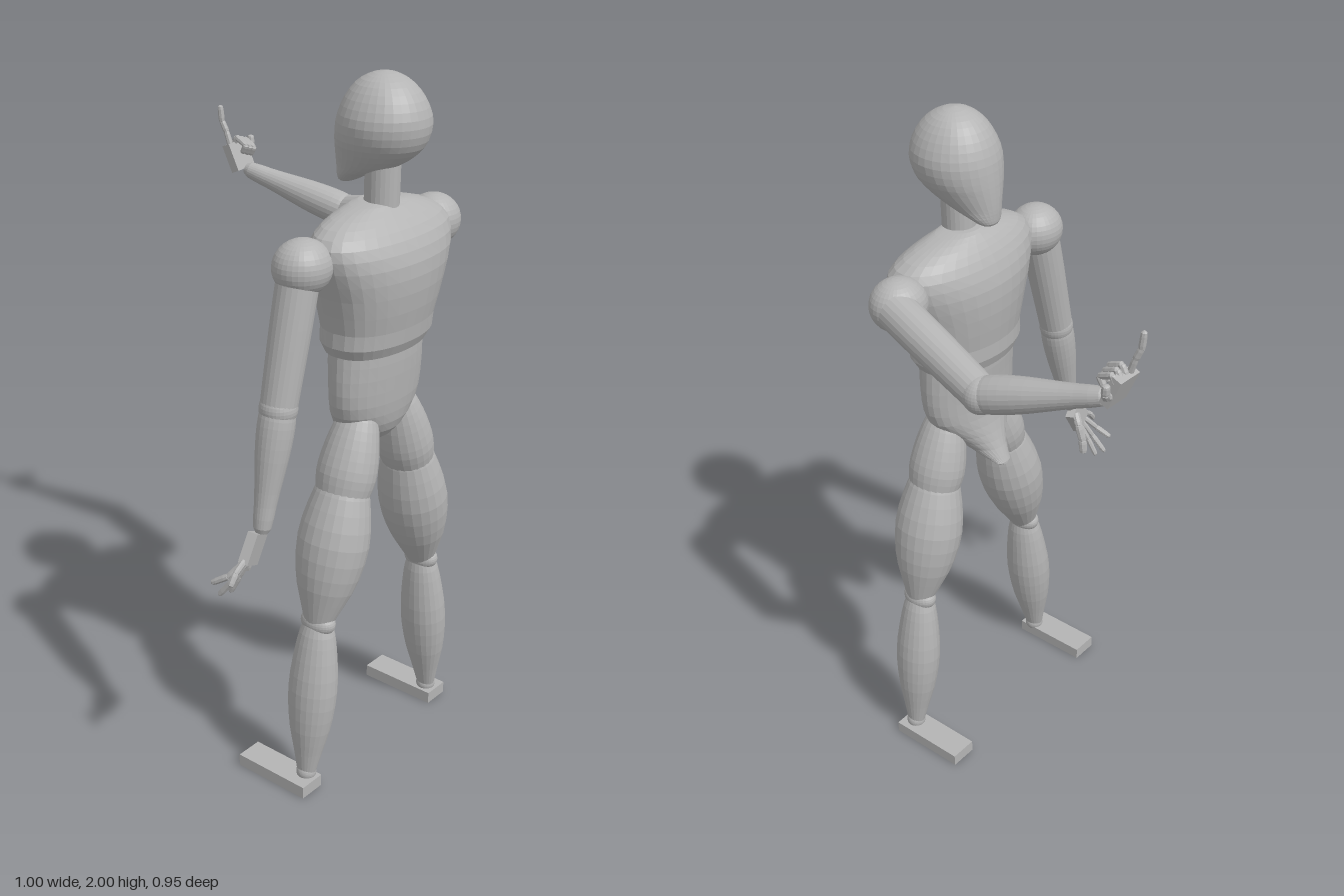
import * as THREE from 'three';

const V = (p) => new THREE.Vector3(...p);
const CX = 0.066; // body centre line

export function createModel() {
  const model = new THREE.Group();
  const grey = new THREE.MeshStandardMaterial({ color: 0xb4b4b4, flatShading: true });
  grey.name = 'plain grey';

  const add = (name, geometry, parent = model) => {
    const mesh = new THREE.Mesh(geometry, grey);
    mesh.name = name;
    parent.add(mesh);
    return mesh;
  };

  // Upright lofted body: rings of [y, half width, z min, z max], bottom to top
  function body(name, rings, steps, backPower = 1) {
    const widths = new THREE.CatmullRomCurve3(rings.map((r) => V([r[0], r[1], 0])), false, 'catmullrom');
    const depths = new THREE.CatmullRomCurve3(rings.map((r) => V([r[2], r[3], 0])), false, 'catmullrom');
    const rows = Array.from({ length: steps + 1 }, (_, i) => new THREE.Vector2(1, i));
    const geo = new THREE.LatheGeometry(rows, 32);
    const pos = geo.attributes.position;
    for (let i = 0; i < pos.count; i++) {
      const t = Math.round(pos.getY(i)) / steps;
      const w = widths.getPoint(t), d = depths.getPoint(t);
      const s = pos.getX(i), c = pos.getZ(i);
      const k = c > 0 ? Math.pow(c, backPower) : c;
      pos.setXYZ(i, CX + s * w.y, w.x, (d.x + d.y) / 2 + k * (d.y - d.x) / 2);
    }
    geo.computeVertexNormals();
    return add(name, geo);
  }

  // Turned limb from a to b: profile of [fraction along, radius], with depth scale
  function limb(name, a, b, profile, depth = 1, sides = 24, steps = 14, parent = model) {
    const from = V(a), dir = V(b).sub(from), len = dir.length();
    const curve = new THREE.SplineCurve(profile.map(([t, r]) => new THREE.Vector2(r, t * len)));
    const pts = curve.getPoints(steps).map((p) => new THREE.Vector2(Math.max(p.x, 0), p.y));
    const geo = new THREE.LatheGeometry(pts, sides);
    geo.scale(1, 1, depth);
    const mesh = add(name, geo, parent);
    mesh.position.copy(from);
    mesh.quaternion.setFromUnitVectors(new THREE.Vector3(0, 1, 0), dir.normalize());
    return mesh;
  }

  function ball(name, p, rx, ry = rx, rz = rx) {
    const mesh = add(name, new THREE.SphereGeometry(1, 32, 18));
    mesh.position.set(...p);
    mesh.scale.set(rx, ry, rz);
  }

  // Jointed finger through a few points
  function finger(name, points, r = 0.009) {
    const group = new THREE.Group();
    group.name = name;
    model.add(group);
    const shape = [[-0.12, 0], [0, r * 0.95], [0.5, r], [1, r * 0.85], [1.1, 0]];
    for (let i = 1; i < points.length; i++)
      limb('fingerSegment', points[i - 1], points[i], shape, 1, 8, 8, group);
  }

  // Head, with the jaw drawn forward to the chin
  body('head', [
    [1.698, 0, 0.222, 0.224], [1.705, 0.03, 0.207, 0.25], [1.725, 0.05, 0.204, 0.29],
    [1.75, 0.068, 0.203, 0.36], [1.79, 0.094, 0.204, 0.425], [1.83, 0.114, 0.207, 0.455],
    [1.88, 0.119, 0.214, 0.463], [1.93, 0.1, 0.232, 0.446], [1.97, 0.07, 0.262, 0.412],
    [1.992, 0.036, 0.3, 0.372], [2.0, 0, 0.335, 0.337]], 24);
  const neck = add('neck', new THREE.CylinderGeometry(0.047, 0.047, 0.17, 24));
  neck.position.set(CX, 1.705, 0.338);

  // Trunk
  body('chest', [
    [1.275, 0, 0.32, 0.34], [1.278, 0.168, 0.22, 0.435], [1.35, 0.184, 0.208, 0.455],
    [1.45, 0.212, 0.195, 0.472], [1.53, 0.243, 0.195, 0.472], [1.59, 0.25, 0.212, 0.45],
    [1.63, 0.205, 0.235, 0.415], [1.655, 0.13, 0.257, 0.385], [1.668, 0.055, 0.275, 0.37],
    [1.669, 0, 0.32, 0.33]], 18, 0.75);
  body('waistAndPelvis', [
    [0.938, 0, 0.197, 0.2], [0.945, 0.028, 0.196, 0.225], [0.99, 0.06, 0.214, 0.345],
    [1.04, 0.105, 0.23, 0.4], [1.1, 0.155, 0.243, 0.418], [1.17, 0.17, 0.245, 0.425],
    [1.25, 0.169, 0.238, 0.43], [1.31, 0.165, 0.235, 0.43]], 14);

  // Legs: [side, hip top, thigh top, knee, ankle, foot x]
  const legs = [
    ['right', [0, 1.14, 0.345], [-0.07, 0.94, 0.347], [-0.178, 0.52, 0.345], [-0.225, 0.045, 0.348], -0.245],
    ['left', [0.138, 1.14, 0.345], [0.203, 0.94, 0.347], [0.312, 0.52, 0.345], [0.367, 0.045, 0.348], 0.371],
  ];
  for (const [side, hip, thigh, knee, ankle, footX] of legs) {
    const low = V(thigh).lerp(V(knee), 0.15).toArray();
    limb(side + 'Hip', hip, low, [[0, 0], [0.12, 0.04], [0.4, 0.066], [0.75, 0.079], [1, 0.07]], 1.07);
    limb(side + 'Thigh', thigh, knee,
      [[0, 0], [0.01, 0.052], [0.2, 0.081], [0.45, 0.096], [0.7, 0.083], [0.9, 0.054], [1, 0.038]], 1.07);
    ball(side + 'Knee', knee, 0.039, 0.037, 0.054);
    limb(side + 'Shin', knee, ankle,
      [[0, 0.036], [0.12, 0.05], [0.4, 0.063], [0.65, 0.056], [0.87, 0.036], [1, 0.024]], 1.13);
    ball(side + 'Ankle', ankle, 0.029);
    const foot = add(side + 'Foot', new THREE.BoxGeometry(0.082, 0.036, 0.24));
    foot.position.set(footX, 0.018, 0.266);
  }

  // Arms: [side, shoulder, upper arm start, elbow, wrist]
  const arms = [
    ['right', [-0.217, 1.55, 0.307], [-0.232, 1.53, 0.307], [-0.305, 1.195, 0.305], [-0.372, 0.86, 0.305]],
    ['left', [0.34, 1.55, 0.312], [0.37, 1.55, 0.29], [0.448, 1.474, -0.062], [0.372, 1.565, -0.4]],
  ];
  for (const [side, shoulder, start, elbow, wrist] of arms) {
    ball(side + 'Shoulder', shoulder, 0.082, 0.074, 0.076);
    limb(side + 'UpperArm', start, elbow, [[0, 0.056], [0.35, 0.055], [0.7, 0.052], [1, 0.049]]);
    ball(side + 'Elbow', elbow, 0.051);
    limb(side + 'Forearm', elbow, wrist,
      [[0, 0.046], [0.12, 0.05], [0.35, 0.046], [0.7, 0.032], [0.96, 0.023], [1, 0.0]]);
  }

  // Raised left hand: index up, other fingers curled toward the body
  const leftPalm = add('leftPalm', new THREE.BoxGeometry(0.078, 0.085, 0.028));
  leftPalm.position.set(0.37, 1.6, -0.425);
  leftPalm.rotation.set(-0.4, 0, 0.08);
  finger('leftIndexFinger', [[0.348, 1.63, -0.437], [0.345, 1.675, -0.452], [0.34, 1.705, -0.465], [0.338, 1.748, -0.469]]);
  for (let i = 0; i < 3; i++) {
    const x = 0.362 + i * 0.018, y = 1.635 - i * 0.006;
    finger('leftCurledFinger', [[x, y, -0.437], [x, y + 0.022, -0.425], [x - 0.004, y + 0.004, -0.385], [x - 0.004, y - 0.02, -0.398]]);
  }
  finger('leftThumb', [[0.395, 1.585, -0.42], [0.428, 1.602, -0.43], [0.441, 1.62, -0.438], [0.443, 1.645, -0.441]], 0.011);

  // Lowered right hand with spread fingers
  const rightPalm = add('rightPalm', new THREE.BoxGeometry(0.076, 0.085, 0.028));
  rightPalm.position.set(-0.397, 0.825, 0.297);
  rightPalm.rotation.set(0.15, 0.25, -0.5);
  const spread = [
    [[-0.44, 0.808, 0.305], [-0.475, 0.785, 0.305], [-0.495, 0.758, 0.306]],
    [[-0.432, 0.795, 0.295], [-0.46, 0.755, 0.265], [-0.474, 0.73, 0.225]],
    [[-0.415, 0.79, 0.29], [-0.438, 0.735, 0.265], [-0.45, 0.685, 0.228]],
    [[-0.4, 0.785, 0.285], [-0.412, 0.735, 0.262], [-0.418, 0.685, 0.238]],
  ];
  spread.forEach((points) => finger('rightFinger', points));
  finger('rightThumb', [[-0.375, 0.845, 0.285], [-0.362, 0.815, 0.262], [-0.36, 0.765, 0.245], [-0.357, 0.725, 0.24]], 0.013);

  return model;
}
